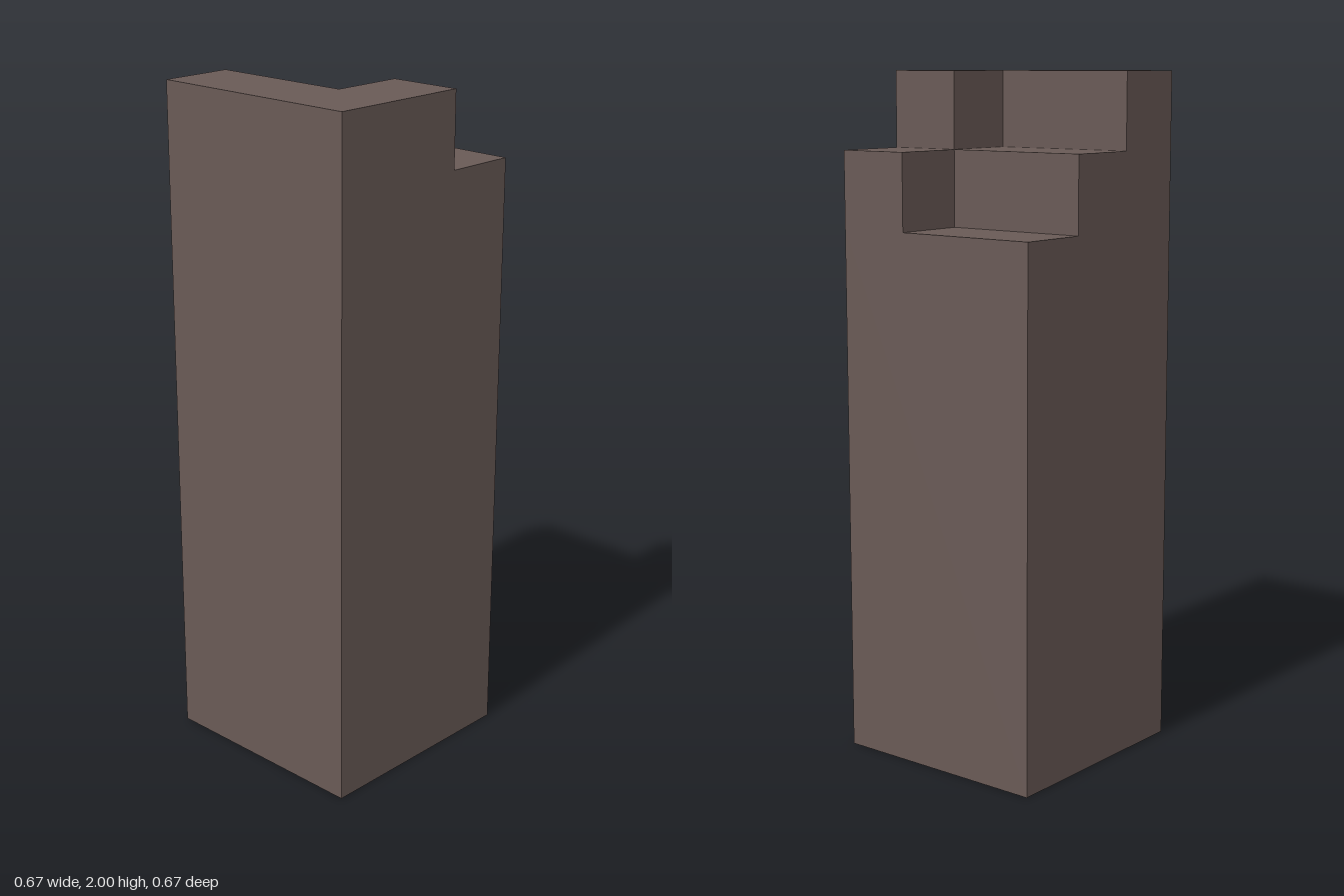
import * as THREE from 'three';

export function createModel() {
  const model = new THREE.Group();
  model.name = 'steppedPillar';
  const stone = new THREE.MeshStandardMaterial({ color: 0x695a56 });
  stone.name = 'brownStone';

  const a = 1 / 3; // half width
  const b = 1 / 9; // step lines
  const step = 2 / 9; // step height

  // Horizontal slab from an [x, z] outline, between two heights
  function slab(name, outline, y0, y1) {
    const shape = new THREE.Shape(outline.map(([x, z]) => new THREE.Vector2(x, -z)));
    const geometry = new THREE.ExtrudeGeometry(shape, { depth: y1 - y0, bevelEnabled: false });
    geometry.rotateX(-Math.PI / 2);
    geometry.translate(0, y0, 0);
    const mesh = new THREE.Mesh(geometry, stone);
    mesh.name = name;
    model.add(mesh);
  }

  // Square shaft
  slab('shaft', [[-a, a], [a, a], [a, -a], [-a, -a]], 0, 2 - 2 * step);
  // Middle step, notched at the back left corner
  slab('middleStep', [[-a, a], [a, a], [a, b], [b, b], [b, -a], [-a, -a]], 2 - 2 * step, 2 - step);
  // Top step, an L along the right side and front
  slab('topStep', [[-a, a], [b, a], [b, b], [-b, b], [-b, -a], [-a, -a]], 2 - step, 2);

  return model;
}
